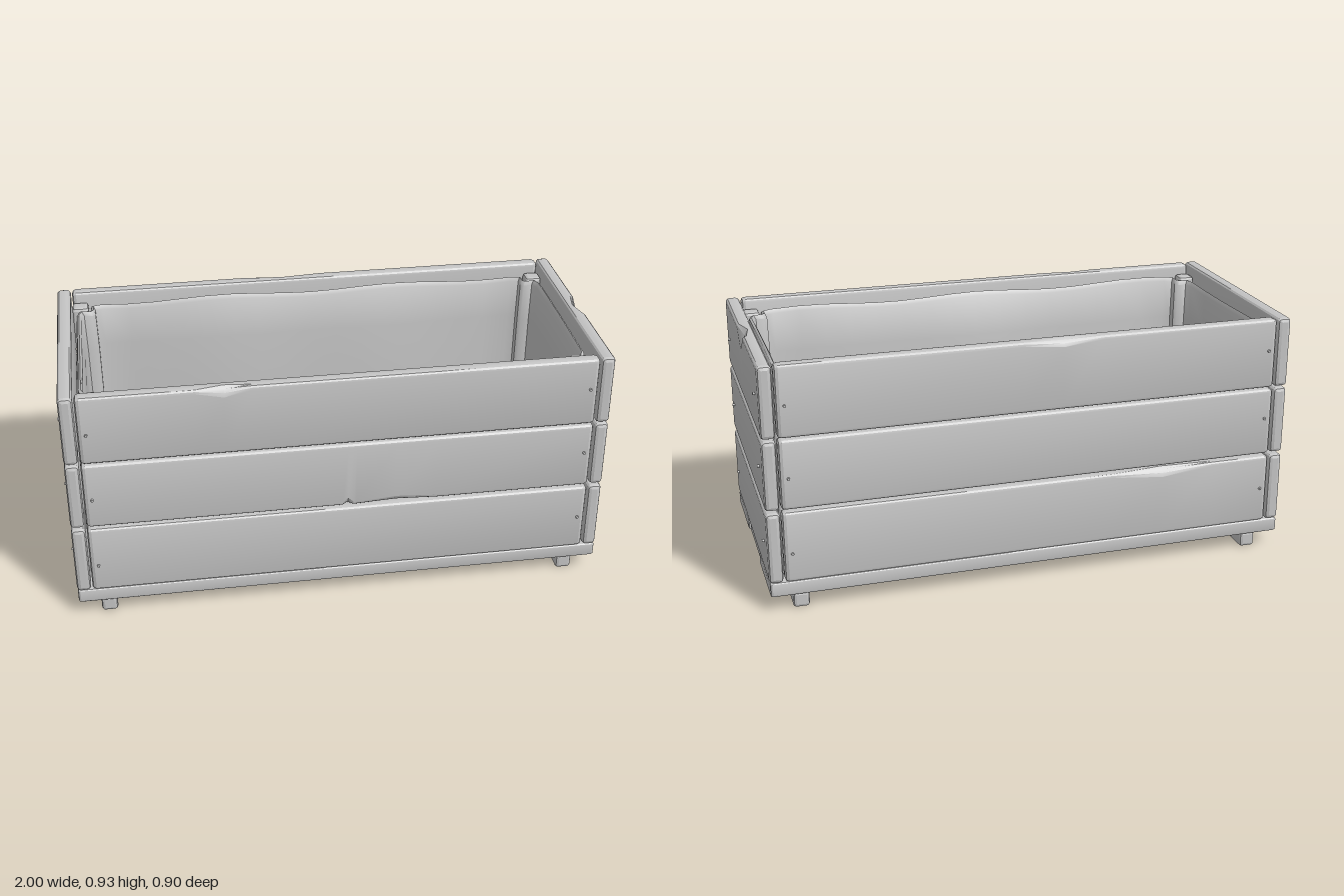
import * as THREE from 'three';
import { toCreasedNormals } from 'three/addons/utils/BufferGeometryUtils.js';

const grey = new THREE.MeshStandardMaterial({ color: 0xc4c4c4, side: THREE.DoubleSide });
grey.name = 'plain grey';

// Skin a list of equal-length point rings; cap the chosen ends with fans
function loft(rings, capStart, capEnd, crease) {
  const n = rings[0].length, pos = [], idx = [];
  rings.forEach(r => r.forEach(p => pos.push(...p)));
  for (let i = 0; i < rings.length - 1; i++) {
    for (let j = 0; j < n; j++) {
      const a = i * n + j, b = i * n + (j + 1) % n;
      idx.push(a, b, a + n, b, b + n, a + n);
    }
  }
  const cap = (i, flip) => {
    const c = pos.length / 3;
    pos.push(...[0, 1, 2].map(k => rings[i].reduce((s, p) => s + p[k], 0) / n));
    for (let j = 0; j < n; j++) {
      const a = i * n + j, b = i * n + (j + 1) % n;
      idx.push(c, flip ? b : a, flip ? a : b);
    }
  };
  if (capStart) cap(0, true);
  if (capEnd) cap(rings.length - 1, false);
  const g = new THREE.BufferGeometry();
  g.setAttribute('position', new THREE.Float32BufferAttribute(pos, 3));
  g.setIndex(idx);
  return toCreasedNormals(g, crease);
}

// Round-edged board along x, outer face +z. Each chip is [x, halfWidth, top(1)/bottom(-1), drop, cut]
function board(len, h, d, r, chips = []) {
  const stations = [[-len / 2, r], [-len / 2 + r * 0.3, r * 0.3], [-len / 2 + r, 0]];
  const inner = [];
  chips.forEach(([x, w]) => inner.push([x - w, 0], [x, 0], [x + w, 0]));
  inner.sort((a, b) => a[0] - b[0]);
  stations.push(...inner, [len / 2 - r, 0], [len / 2 - r * 0.3, r * 0.3], [len / 2, r]);
  const rings = stations.map(([x, shrink]) => {
    const ring = [];
    for (let q = 0; q < 4; q++) {
      const sy = q === 0 || q === 3 ? 1 : -1, sz = q < 2 ? 1 : -1;
      for (let k = 0; k < 4; k++) {
        const a = (q + k / 3) * Math.PI / 2;
        let y = sy * (h / 2 - r) + Math.cos(a) * (r - shrink);
        let z = sz * (d / 2 - r) + Math.sin(a) * (r - shrink);
        chips.forEach(([cx, , side, drop, cut]) => {
          if (cx !== x || sz < 0 || sy !== side) return;
          const f = side > 0 ? k / 3 : 1 - k / 3; // 0 on the edge, 1 on the outer face
          y -= side * drop * f;
          z -= cut * (1 - f);
        });
        ring.push([x, y, z]);
      }
    }
    return ring;
  });
  return loft(rings, true, true, 0.35);
}

function add(parent, name, geometry, x, y, z) {
  const m = new THREE.Mesh(geometry, grey);
  m.name = name;
  m.position.set(x, y, z);
  parent.add(m);
  return m;
}

// Three stacked boards with their screws, facing +z
const rows = [[0.115, 0.385], [0.395, 0.657], [0.663, 0.93]];
function wall(name, len, dist, screwX, chips) {
  const g = new THREE.Group();
  g.name = name;
  rows.forEach(([y0, y1], i) => {
    add(g, 'plank', board(len, y1 - y0, 0.052, 0.015, chips[i]), 0, (y0 + y1) / 2, dist - 0.026);
    for (const s of [-1, 1]) {
      const y = [0.24, 0.528, 0.797][i] + s * 0.013;
      const screw = add(g, 'screw', new THREE.CylinderGeometry(0.005, 0.006, 0.016, 8), s * screwX, y, dist);
      screw.rotation.x = Math.PI / 2;
    }
  });
  return g;
}

// Soft inner tub: rim folded over, walls sagging inward, notched round the posts
function liner() {
  const outline = [];
  const steps = 16;
  const X = 0.925, Z = 0.386, nx = 0.868, nz = 0.327;
  for (let i = 0; i <= 4; i++) outline.push([X, nz - 0.03 - (nz - 0.03) * 2 * i / 4]);
  outline.push([X - 0.012, -nz], [nx + 0.012, -nz], [nx, -nz - 0.012], [nx, -Z + 0.012]);
  for (let i = 0; i <= steps; i++) outline.push([(nx - 0.03) * (1 - 2 * i / steps), -Z]);
  outline.push([-nx, -Z + 0.012], [-nx, -nz - 0.012], [-nx - 0.012, -nz], [-X + 0.012, -nz]);
  for (let i = 0; i <= 4; i++) outline.push([-X, -nz + 0.03 + (nz - 0.03) * 2 * i / 4]);
  outline.push([-X + 0.012, nz], [-nx - 0.012, nz], [-nx, nz + 0.012], [-nx, Z - 0.012]);
  for (let i = 0; i <= steps; i++) outline.push([(nx - 0.03) * (2 * i / steps - 1), Z]);
  outline.push([nx, Z - 0.012], [nx, nz + 0.012], [nx + 0.012, nz], [X - 0.012, nz]);

  // Each level: height, inset, sag
  const levels = [[0.85, 0, 0], [0.88, 0.004, 0], [0.886, 0.012, 0], [0.87, 0.02, 0.1],
    [0.72, 0.024, 0.6], [0.5, 0.026, 0.9], [0.25, 0.03, 1], [0.165, 0.045, 1], [0.14, 0.08, 1]];
  const rings = levels.map(([y, inset, sag]) => outline.map(([x, z]) => {
    const long = Math.max(0, Math.cos(x / nx * Math.PI / 2));
    const ripple = 0.007 * Math.sin(x * 9 + z * 4);
    const pull = sag * (0.026 * long + ripple * long);
    return [
      x * (1 - inset / X),
      y + (y > 0.8 ? ripple : 0),
      Math.sign(z) * Math.max(0, Math.abs(z) * (1 - inset / Z) - pull * Math.abs(z) / Z),
    ];
  }));
  return loft(rings, false, true, 0.8);
}

export function createModel() {
  const model = new THREE.Group();
  model.name = 'planter box';

  // Long walls, with a few chipped edges
  model.add(wall('frontWall', 1.87, 0.443, 0.905, [[], [[0.02, 0.02, -1, 0.02, 0.012], [0.2, 0.15, -1, 0.01, 0.008]],
    [[-0.42, 0.1, 1, 0.022, 0.01]]]));
  const back = wall('backWall', 1.87, 0.443, 0.905, [[[0.5, 0.2, 1, 0.02, 0.01]], [], [[0.1, 0.15, 1, 0.015, 0.01]]]);
  back.rotation.y = Math.PI;
  model.add(back);

  // Short end walls
  for (const s of [-1, 1]) {
    const dent = s < 0 ? [] : [[0, 0.08, 1, 0.06, 0.015]];
    const end = wall(s < 0 ? 'rightWall' : 'leftWall', 0.885, 0.992, 0.36, [[], [], dent]);
    end.rotation.y = s * Math.PI / 2;
    model.add(end);
  }

  // Corner posts
  for (const sx of [-1, 1]) for (const sz of [-1, 1]) {
    const post = add(model, 'cornerPost', board(0.775, 0.062, 0.062, 0.012), sx * 0.906, 0.505, sz * 0.36);
    post.rotation.z = Math.PI / 2;
  }

  add(model, 'liner', liner(), 0, 0, 0);

  // Floor boards
  for (const s of [-1, 1]) add(model, 'floorBoard', board(1.98, 0.055, 0.284, 0.009), 0, 0.0885, s * 0.297);
  add(model, 'middleFloorBoard', board(1.97, 0.052, 0.282, 0.012), 0, 0.0895, 0);

  // Cross runners under the floor
  for (const s of [-1, 1]) {
    const runner = add(model, 'footRunner', board(0.845, 0.062, 0.06, 0.012), s * 0.878, 0.031, 0);
    runner.rotation.y = s * Math.PI / 2;
  }
  return model;
}
